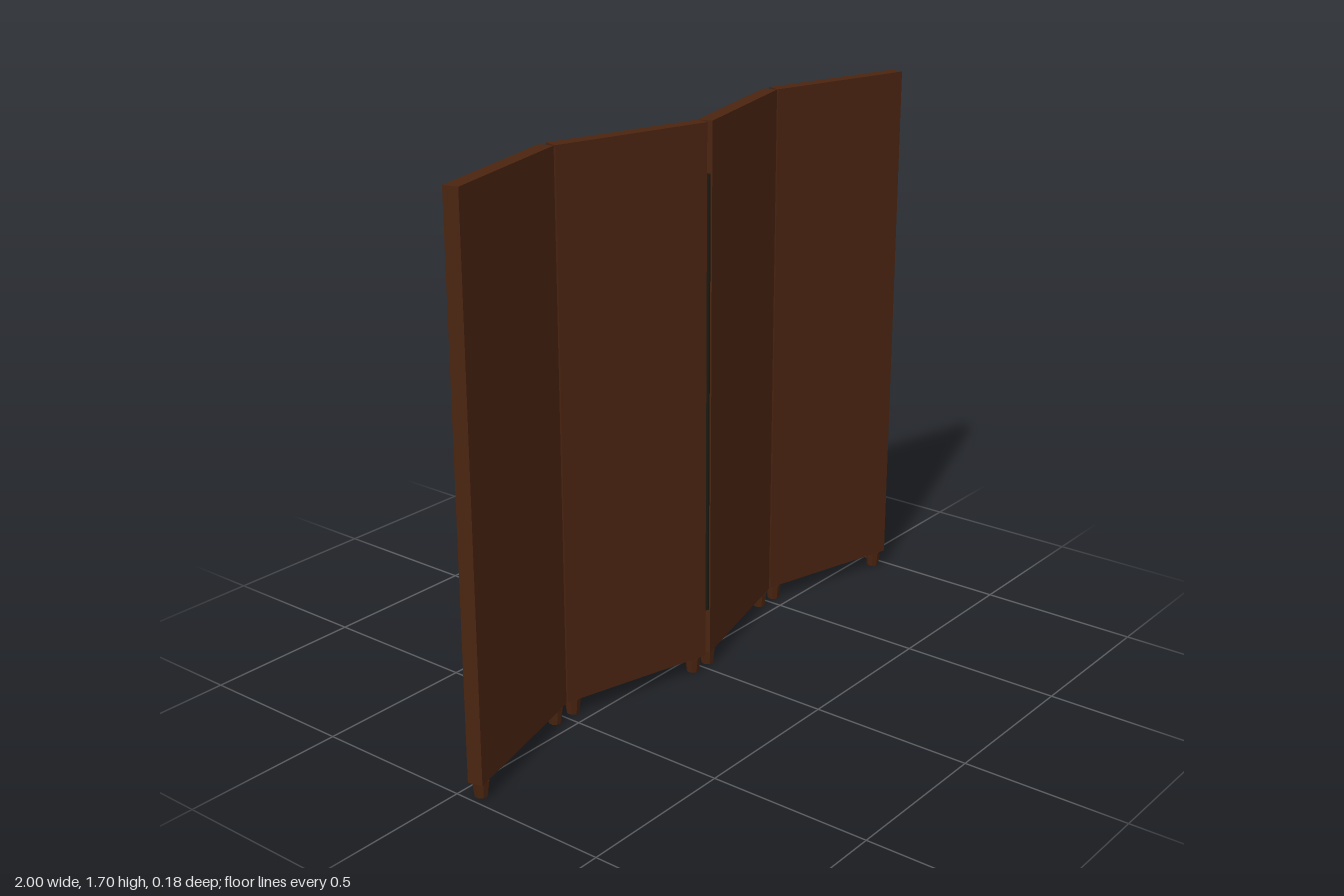
import * as THREE from 'three';

const ANGLE = Math.PI / 12;   // fold of each panel
const LENGTH = 0.502, THICK = 0.045, BOTTOM = 0.05, TOP = 1.7;

const wood = new THREE.MeshStandardMaterial({ color: 0x4a2410 });
wood.name = 'dark brown wood';
const metal = new THREE.MeshStandardMaterial({ color: 0x1c1a12 });
metal.name = 'dark hinge metal';

function add(parent, name, geometry, material, x, y, z) {
  const mesh = new THREE.Mesh(geometry, material);
  mesh.name = name;
  mesh.position.set(x, y, z);
  parent.add(mesh);
  return mesh;
}

// One leaf of the screen: a slab on two tapered feet
function makePanel(index) {
  const panel = new THREE.Group();
  panel.name = 'panel' + (index + 1);
  const height = TOP - BOTTOM;
  add(panel, 'board', new THREE.BoxGeometry(LENGTH, height, THICK), wood, 0, BOTTOM + height / 2, 0);
  const footShape = new THREE.CylinderGeometry(0.025, 0.019, BOTTOM, 8).toNonIndexed();
  footShape.computeVertexNormals();
  for (const side of [-1, 1]) {
    add(panel, 'foot', footShape, wood, side * 0.22, BOTTOM / 2, 0);
  }
  return panel;
}

export function createModel() {
  const screen = new THREE.Group();
  screen.name = 'foldingScreen';

  // Four panels folded in a zigzag
  [-0.7515, -0.2485, 0.2485, 0.7515].forEach((x, i) => {
    const panel = makePanel(i);
    panel.position.x = x;
    panel.rotation.y = i % 2 === 0 ? ANGLE : -ANGLE;
    screen.add(panel);
  });

  // Long hinges in the open side of each fold
  const hinge = new THREE.CylinderGeometry(0.009, 0.009, 1.35, 12);
  for (const x of [-0.5, 0, 0.5]) {
    add(screen, 'hinge', hinge, metal, x, 0.875, x === 0 ? 0.079 : -0.079);
  }
  return screen;
}
